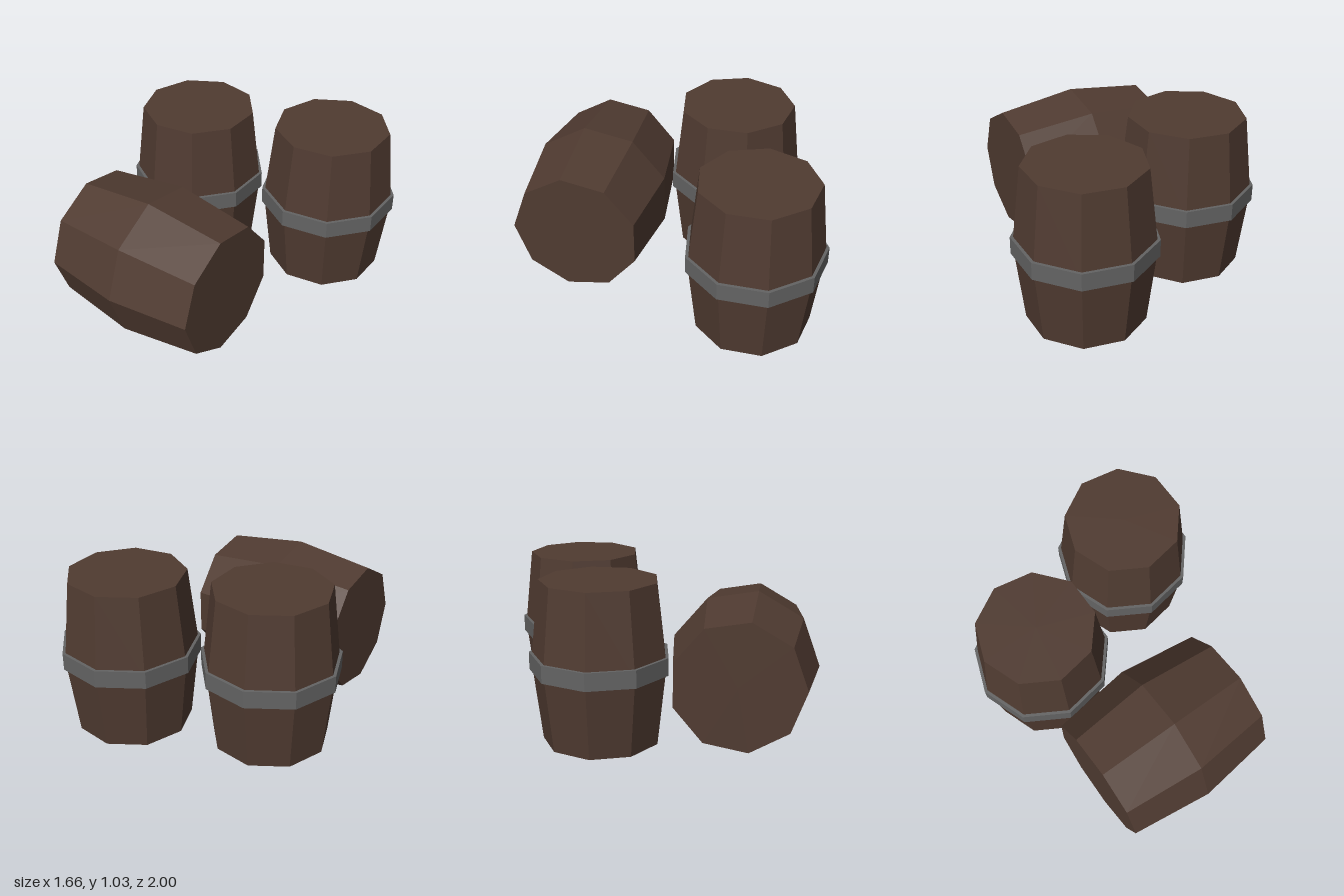
import * as THREE from 'three';

const SIDES = 9;

// Faceted revolved solid from [radius, y] pairs listed counter-clockwise
function facetedLathe(profile, phiStart) {
  const points = profile.map(([r, y]) => new THREE.Vector2(r, y));
  const geometry = new THREE.LatheGeometry(points, SIDES, phiStart).toNonIndexed();
  geometry.computeVertexNormals();
  return geometry;
}

// Barrel body: flat ends and a bulge at mid height
function barrelBody(endRadius, midRadius, length, phiStart) {
  const h = length / 2;
  return facetedLathe([[0, -h], [endRadius, -h], [midRadius, 0], [endRadius, h], [0, h]], phiStart);
}

// Closed metal ring around the bulge
function hoopRing(inner, outer, height, phiStart) {
  const h = height / 2;
  return facetedLathe([[outer, -h], [outer, h], [inner, h], [inner, -h], [outer, -h]], phiStart);
}

export function createModel() {
  const wood = new THREE.MeshStandardMaterial({ color: 0x503b31 });
  wood.name = 'dark wood';
  const iron = new THREE.MeshStandardMaterial({ color: 0x646464 });
  iron.name = 'iron grey';

  const model = new THREE.Group();
  model.name = 'barrels';

  function addPart(parent, name, geometry, material) {
    const mesh = new THREE.Mesh(geometry, material);
    mesh.name = name;
    parent.add(mesh);
    return mesh;
  }

  // Two upright barrels, each with a hoop
  const start = -Math.PI / 2;
  const uprightBody = barrelBody(0.358, 0.415, 0.99, start);
  const hoop = hoopRing(0.408, 0.428, 0.108, start);
  for (const [name, x, z] of [['rightBarrel', -0.402, -0.3], ['leftBarrel', 0.428, -0.58]]) {
    const barrel = new THREE.Group();
    barrel.name = name;
    barrel.position.set(x, 0.54, z);
    addPart(barrel, 'body', uprightBody, wood);
    addPart(barrel, 'hoop', hoop, iron);
    model.add(barrel);
  }

  // Plain barrel lying on its side in front
  const lying = addPart(model, 'lyingBarrel', barrelBody(0.4, 0.465, 1, 0), wood);
  lying.rotation.z = Math.PI / 2;
  lying.position.set(-0.07, 0.46, 0.535);

  return model;
}
